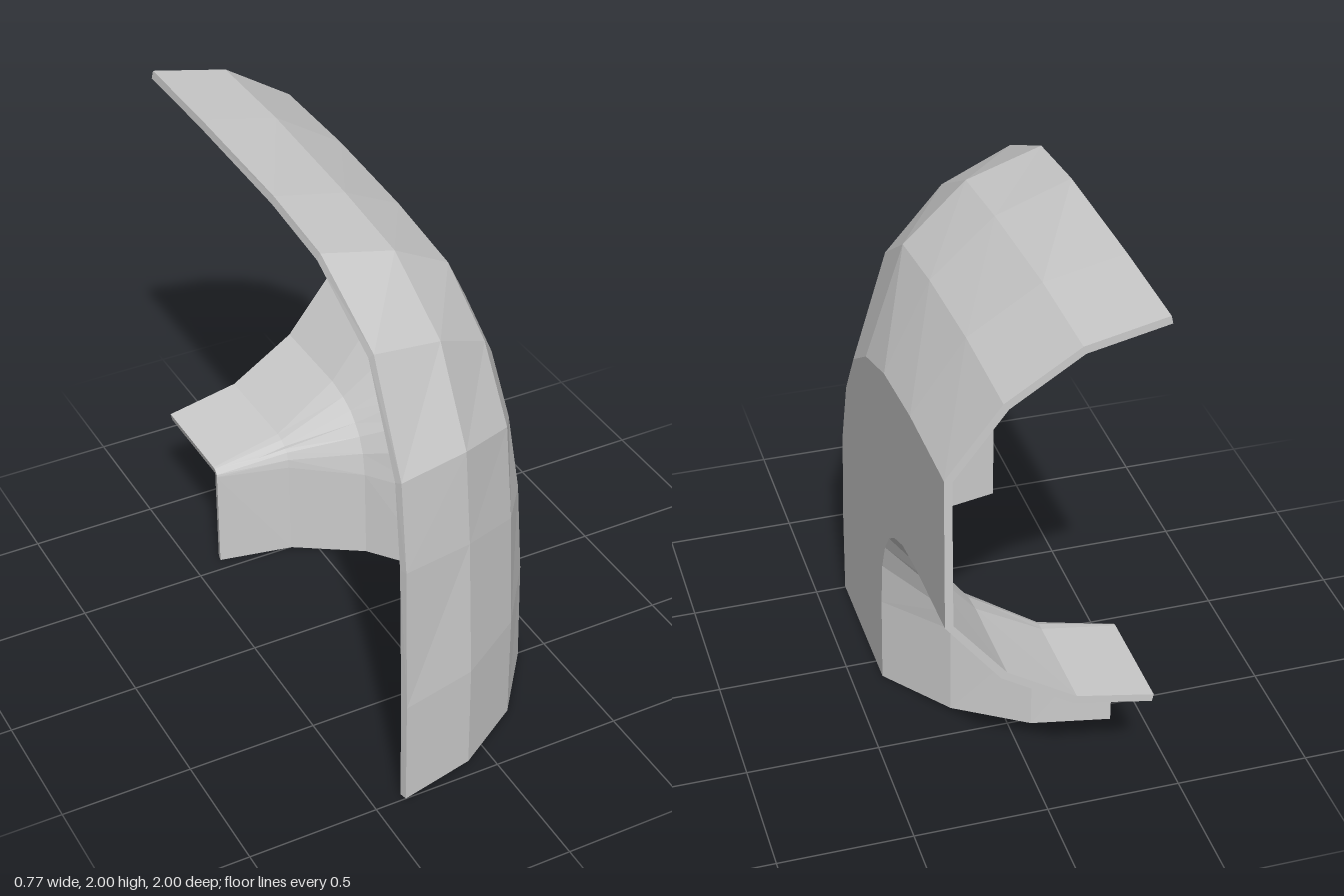
import * as THREE from 'three';

// Lengthwise lines of the half elbow: x, then [z, y] from the lower opening to mid-bend.
// The rest of each line mirrors across the bend's diagonal.
const LINES = [
  { x: -0.38, half: [[1, 0], [1, 0.43], [0.985, 1.02], [0.945, 1.37], [0.75, 1.765]] },
  { x: -0.085, half: [[0.935, 0], [0.935, 0.43], [0.9, 0.98], [0.86, 1.345], [0.67, 1.68]] },
  { x: 0.18, half: [[0.765, 0], [0.765, 0.43], [0.735, 0.885], [0.685, 1.25], [0.515, 1.51]] },
  { x: 0.38, half: [[0.505, 0], [0.495, 0.42], [0.455, 0.77], [0.37, 1.035], [0.235, 1.24]] },
  { x: 0.38, half: [[-0.095, 0], [-0.11, 0.37], [-0.135, 0.555], [-0.185, 0.675], [-0.25, 0.76]] },
  { x: 0.18, half: [[-0.355, 0], [-0.36, 0.38], [-0.375, 0.47], [-0.4, 0.53], [-0.435, 0.57]] },
  { x: -0.085, half: [[-0.525, 0], [-0.527, 0.4], [-0.53, 0.43], [-0.538, 0.45], [-0.55, 0.455]] },
  { x: -0.38, half: [[-0.585, 0], [-0.585, 0.413], [-0.585, 0.414], [-0.585, 0.415], [-0.585, 0.416]] },
];
const WALL = 0.03;
const ROWS = LINES.length;
const RINGS = 9;

// Outer skin as a grid of points, ring after ring
function outerPoints() {
  const points = [];
  for (let i = 0; i < RINGS; i++) {
    for (const { x, half } of LINES) {
      const [z, y] = half[Math.min(i, RINGS - 1 - i)];
      points.push(i < 5 ? new THREE.Vector3(x, y, z) : new THREE.Vector3(x, z + 1, y - 1));
    }
  }
  return points;
}

function halfElbowGeometry() {
  const outer = outerPoints();
  const at = (i, j) => i * ROWS + j;
  const skin = [];
  const quad = (list, a, b, c, d) => list.push(a, b, c, a, c, d);
  for (let i = 0; i < RINGS - 1; i++) {
    for (let j = 0; j < ROWS - 1; j++) {
      quad(skin, at(i, j), at(i, j + 1), at(i + 1, j + 1), at(i + 1, j));
    }
  }

  // Inner skin: the outer one pushed inwards, with both openings kept flat
  const shell = new THREE.BufferGeometry().setFromPoints(outer);
  shell.setIndex(skin);
  shell.computeVertexNormals();
  const inner = outer.map((p, k) => {
    const n = new THREE.Vector3().fromBufferAttribute(shell.attributes.normal, k);
    const ring = Math.floor(k / ROWS);
    if (ring === 0) n.y = 0;
    if (ring === RINGS - 1) n.z = 0;
    return p.clone().addScaledVector(n.normalize(), -WALL);
  });

  const count = outer.length;
  const index = [...skin];
  for (let t = 0; t < skin.length; t += 3) {
    index.push(skin[t] + count, skin[t + 2] + count, skin[t + 1] + count);
  }

  // Rim closing the wall around the whole border
  const border = [];
  for (let j = 0; j < ROWS - 1; j++) border.push(at(0, j));
  for (let i = 0; i < RINGS - 1; i++) border.push(at(i, ROWS - 1));
  for (let j = ROWS - 1; j > 0; j--) border.push(at(RINGS - 1, j));
  for (let i = RINGS - 1; i > 0; i--) border.push(at(i, 0));
  border.forEach((a, k) => {
    const b = border[(k + 1) % border.length];
    quad(index, b, a, a + count, b + count);
  });

  const geometry = new THREE.BufferGeometry().setFromPoints([...outer, ...inner]);
  geometry.setIndex(index);
  const flat = geometry.toNonIndexed();
  flat.computeVertexNormals();
  return flat;
}

export function createModel() {
  const group = new THREE.Group();
  group.name = 'halfPipeElbow';
  const material = new THREE.MeshStandardMaterial({ color: 0xcccccc, flatShading: true });
  const elbow = new THREE.Mesh(halfElbowGeometry(), material);
  elbow.name = 'elbowShell';
  group.add(elbow);
  return group;
}
